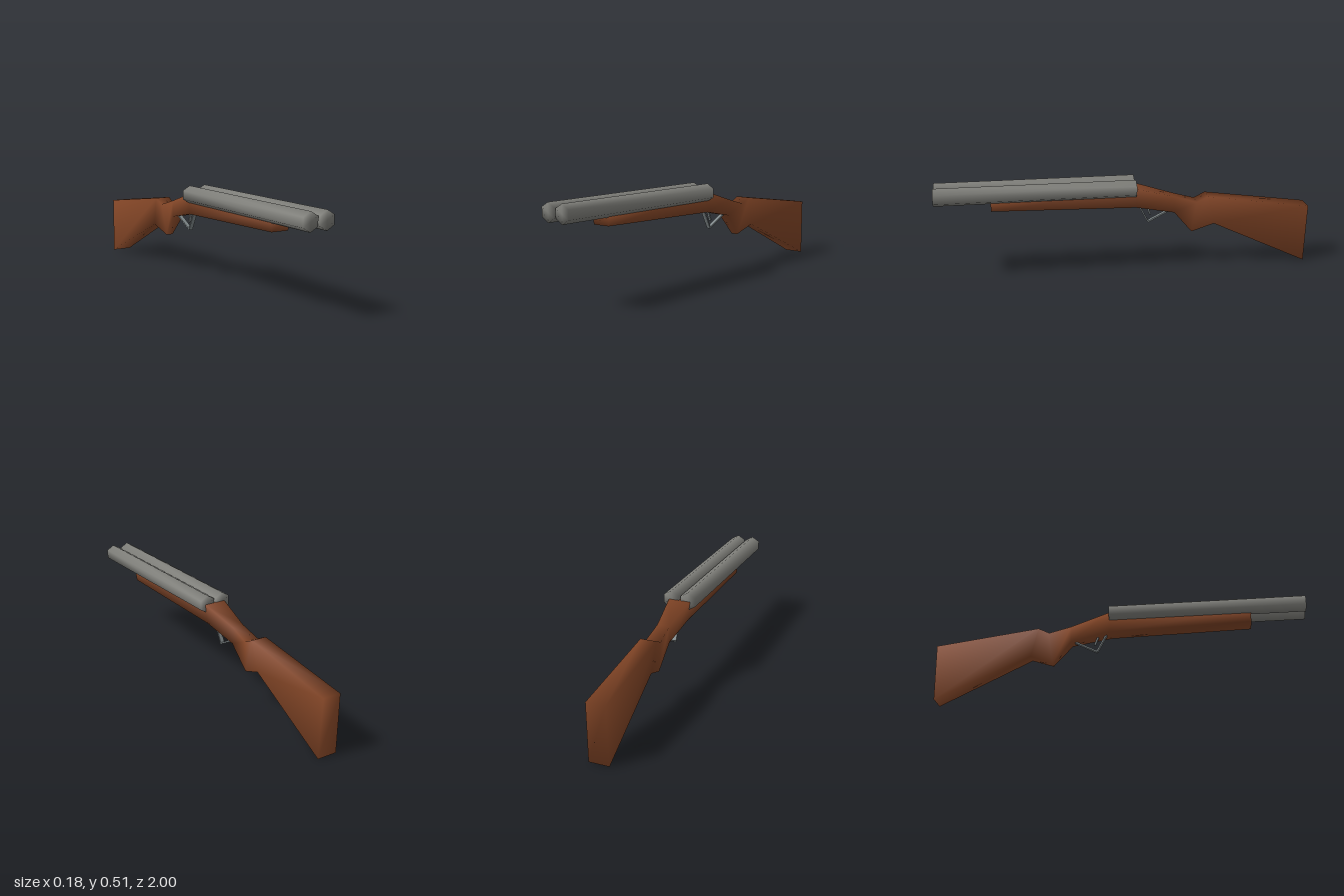
import * as THREE from 'three';
import { mergeVertices } from 'three/addons/utils/BufferGeometryUtils.js';

const material = (name, color) => {
  const m = new THREE.MeshStandardMaterial({ color });
  m.name = name;
  return m;
};

// Share vertices so normals run smoothly round every edge
function smooth(geometry) {
  geometry.deleteAttribute('normal');
  geometry.deleteAttribute('uv');
  const g = mergeVertices(geometry, 1e-4);
  g.computeVertexNormals();
  return g;
}

// Loft four-cornered sections [zTop, yTop, halfTop, zBottom, yBottom, halfBottom], front to back
function loft(sections) {
  const pos = [], index = [];
  for (const [zt, yt, wt, zb, yb, wb] of sections) {
    pos.push(wt, yt, zt, -wt, yt, zt, -wb, yb, zb, wb, yb, zb);
  }
  const quad = (a, b, c, d) => index.push(a, b, c, a, c, d);
  for (let s = 0; s < sections.length - 1; s++) {
    for (let k = 0; k < 4; k++) {
      const a = s * 4 + k, b = s * 4 + (k + 1) % 4;
      quad(a, a + 4, b + 4, b);
    }
  }
  const e = (sections.length - 1) * 4;
  quad(0, 1, 2, 3);
  quad(e + 3, e + 2, e + 1, e);
  const g = new THREE.BufferGeometry();
  g.setAttribute('position', new THREE.Float32BufferAttribute(pos, 3));
  g.setIndex(index);
  g.computeVertexNormals();
  return g;
}

export function createModel() {
  const group = new THREE.Group();
  const wood = material('brown wood', 0x824526);
  const barrelMetal = material('grey barrel metal', 0x7f7f7a);
  const steel = material('trigger steel', 0x7c8486);
  const add = (name, geometry, mat) => {
    const mesh = new THREE.Mesh(geometry, mat);
    mesh.name = name;
    group.add(mesh);
    return mesh;
  };

  // Pair of hexagonal barrels
  for (const side of [1, -1]) {
    const g = new THREE.CylinderGeometry(0.048, 0.048, 1.05, 6);
    g.rotateX(Math.PI / 2);
    add(side > 0 ? 'leftBarrel' : 'rightBarrel', smooth(g), barrelMetal)
      .position.set(side * 0.046, 0.46, 0.475);
  }

  // Fore-end, wrist, grip and butt in one piece
  add('stock', loft([
    [0.71, 0.43, 0.056, 0.71, 0.37, 0.048],
    [-0.05, 0.46, 0.06, -0.05, 0.353, 0.046],
    [-0.26, 0.4, 0.033, -0.26, 0.31, 0.033],
    [-0.38, 0.365, 0.04, -0.36, 0.19, 0.019],
    [-0.44, 0.394, 0.043, -0.48, 0.235, 0.032],
    [-1, 0.315, 0.05, -0.99, 0, 0.054],
  ]), wood);

  // Thin bars between two points of the side profile
  const bar = (name, [z1, y1], [z2, y2], width, thick) => {
    const g = new THREE.BoxGeometry(width, thick, Math.hypot(z2 - z1, y2 - y1));
    const mesh = add(name, g, steel);
    mesh.position.set(0, (y1 + y2) / 2, (z1 + z2) / 2);
    mesh.rotation.x = -Math.atan2(y2 - y1, z2 - z1);
  };
  bar('guardFront', [-0.07, 0.355], [-0.122, 0.255], 0.022, 0.008);
  bar('guardRear', [-0.12, 0.255], [-0.25, 0.322], 0.022, 0.008);
  bar('trigger', [-0.11, 0.36], [-0.134, 0.295], 0.012, 0.009);

  return group;
}
